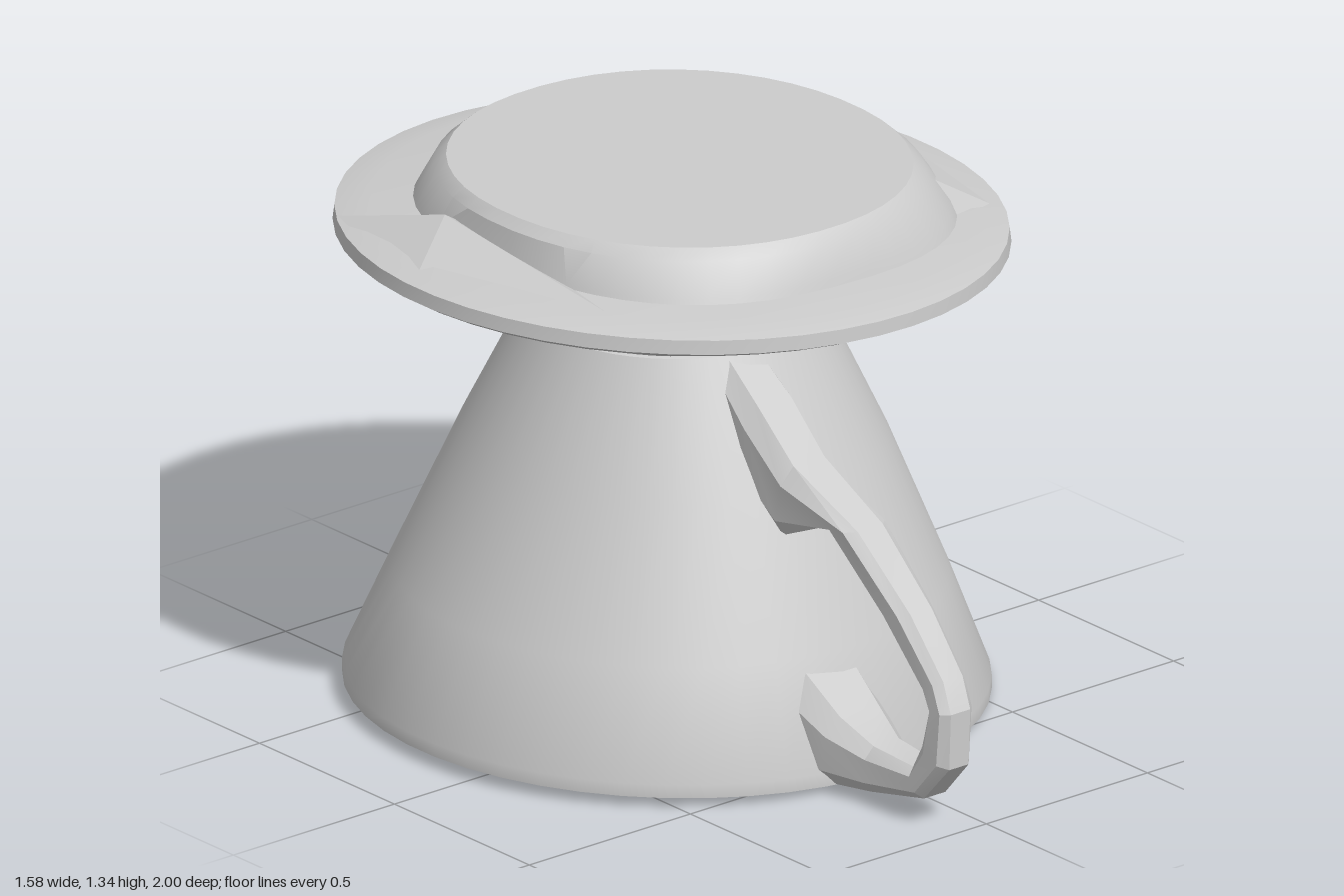
import * as THREE from 'three';
import { toCreasedNormals } from 'three/addons/utils/BufferGeometryUtils.js';
import { ConvexGeometry } from 'three/addons/geometries/ConvexGeometry.js';

const SEGMENTS = 48;
const CZ = -0.16; // axis of the body in z

const material = new THREE.MeshStandardMaterial({ color: 0xcccccc, side: THREE.DoubleSide });

// Horizontal ring; p = 2 is round, larger p is squarer, tilt lowers the +x side
function ring(y, rx, rz = rx, { cx = 0, cz = CZ, p = 2, tilt = 0 } = {}) {
  const bend = (v) => Math.sign(v) * Math.abs(v) ** (2 / p);
  return Array.from({ length: SEGMENTS }, (_, i) => {
    const t = ((i + 0.5) / SEGMENTS) * Math.PI * 2;
    const x = cx + rx * bend(Math.cos(t));
    return [x, y - tilt * x, cz + rz * bend(Math.sin(t))];
  });
}

// Skin a list of rings with equal point counts
function loft(rings, crease = 0.5) {
  const n = rings[0].length;
  const index = [];
  for (let r = 0; r < rings.length - 1; r++) {
    for (let i = 0; i < n; i++) {
      const a = r * n + i;
      const b = r * n + ((i + 1) % n);
      index.push(a, a + n, b, b, a + n, b + n);
    }
  }
  const geometry = new THREE.BufferGeometry();
  geometry.setAttribute('position', new THREE.Float32BufferAttribute(rings.flat(2), 3));
  geometry.setIndex(index);
  return toCreasedNormals(geometry, crease);
}

export function createModel() {
  const model = new THREE.Group();
  const add = (name, geometry, mat = material) => {
    const mesh = new THREE.Mesh(geometry, mat);
    mesh.name = name;
    model.add(mesh);
  };

  // Hollow cone, open below: inner wall down, rim, outer wall up
  const mouth = { cx: -0.02, tilt: 0.02 };
  add('cone', loft([
    ring(0.95, 0.001),
    ring(0.95, 0.31),
    ring(0.32, 0.61, 0.62, { cx: -0.01, tilt: 0.01 }),
    ring(0.02, 0.73, 0.74, mouth),
    ring(0.017, 0.765, 0.785, mouth),
    ring(0.05, 0.765, 0.785, mouth),
    ring(0.31, 0.655, 0.68, { cx: -0.01, tilt: 0.01 }),
    ring(0.66, 0.5, 0.53),
    ring(0.98, 0.355, 0.36),
    ring(0.985, 0.34, 0.345),
  ]));

  // Neck flaring from a circle to a square under the flange
  add('neck', loft([
    ring(0.975, 0.34, 0.345),
    ring(1.04, 0.355, 0.345, { cx: 0.01, p: 3 }),
    ring(1.13, 0.39, 0.365, { cx: 0.025, p: 10 }),
  ]));

  // Wide, slightly tilted flange disc
  const disc = { cz: -0.165, tilt: 0.022 };
  add('flange', loft([
    ring(1.115, 0.001, 0.001, disc),
    ring(1.115, 0.42, 0.42, disc),
    ring(1.15, 0.765, 0.8, disc),
    ring(1.165, 0.79, 0.833, disc),
    ring(1.2, 0.785, 0.83, disc),
    ring(1.22, 0.7, 0.74, disc),
    ring(1.225, 0.001, 0.001, disc),
  ]));

  // Raised foot on top of the flange
  add('foot', loft([
    ring(1.19, 0.605, 0.635, { cx: 0.03, p: 2.5 }),
    ring(1.24, 0.59, 0.62, { cx: 0.03, p: 2.4 }),
    ring(1.32, 0.56, 0.59, { cx: 0.02, p: 2.15 }),
    ring(1.344, 0.535, 0.565, { cx: 0.02, p: 2.1 }),
    ring(1.344, 0.001, 0.001, { cx: 0.02 }),
  ]));

  // Faceted buttresses around the foot
  const flat = material.clone();
  flat.flatShading = true;
  const wedge = (name, points) =>
    add(name, new ConvexGeometry(points.map((p) => new THREE.Vector3(...p))), flat);
  wedge('sideRamp', [
    [-0.64, 1.22, -0.64], [-0.78, 1.21, -0.2], [-0.55, 1.29, -0.35],
    [-0.56, 1.23, 0.28], [-0.4, 1.2, -0.2],
  ]);
  wedge('footCorner', [
    [0.63, 1.2, 0.26], [0.41, 1.2, 0.31], [0.63, 1.2, -0.15],
    [0.56, 1.31, 0.0], [0.42, 1.33, 0.21], [0.3, 1.2, 0.0],
  ]);

  // Handle sections: outer z,y, inner z,y, centre x, half width
  const sections = [
    [0.17, 0.98, 0.12, 0.85, -0.07, 0.075],
    [0.3, 0.885, 0.25, 0.68, -0.07, 0.085],
    [0.42, 0.77, 0.38, 0.58, -0.065, 0.08],
    [0.63, 0.66, 0.53, 0.645, -0.05, 0.065],
    [0.83, 0.51, 0.73, 0.485, -0.06, 0.055],
    [0.96, 0.38, 0.89, 0.34, -0.07, 0.05],
    [1.0, 0.31, 0.925, 0.305, -0.08, 0.05],
    [1.0, 0.17, 0.9, 0.2, -0.085, 0.05],
    [0.91, 0.07, 0.87, 0.14, -0.085, 0.055],
    [0.72, 0.03, 0.73, 0.15, -0.085, 0.065],
    [0.6, 0.02, 0.63, 0.2, -0.085, 0.1],
    [0.46, 0.02, 0.5, 0.29, -0.085, 0.12],
  ];
  // Chamfered rectangle: [side, position from outer (0) to inner (1)]
  const outline = [
    [-0.6, 0], [0.6, 0], [1, 0.25], [1, 0.75],
    [0.6, 1], [-0.6, 1], [-1, 0.75], [-1, 0.25],
  ];
  add('handle', loft(sections.map(([oz, oy, iz, iy, x, w]) =>
    outline.map(([s, t]) => [x + s * w, oy + (iy - oy) * t, oz + (iz - oz) * t])), 0.4));

  return model;
}
